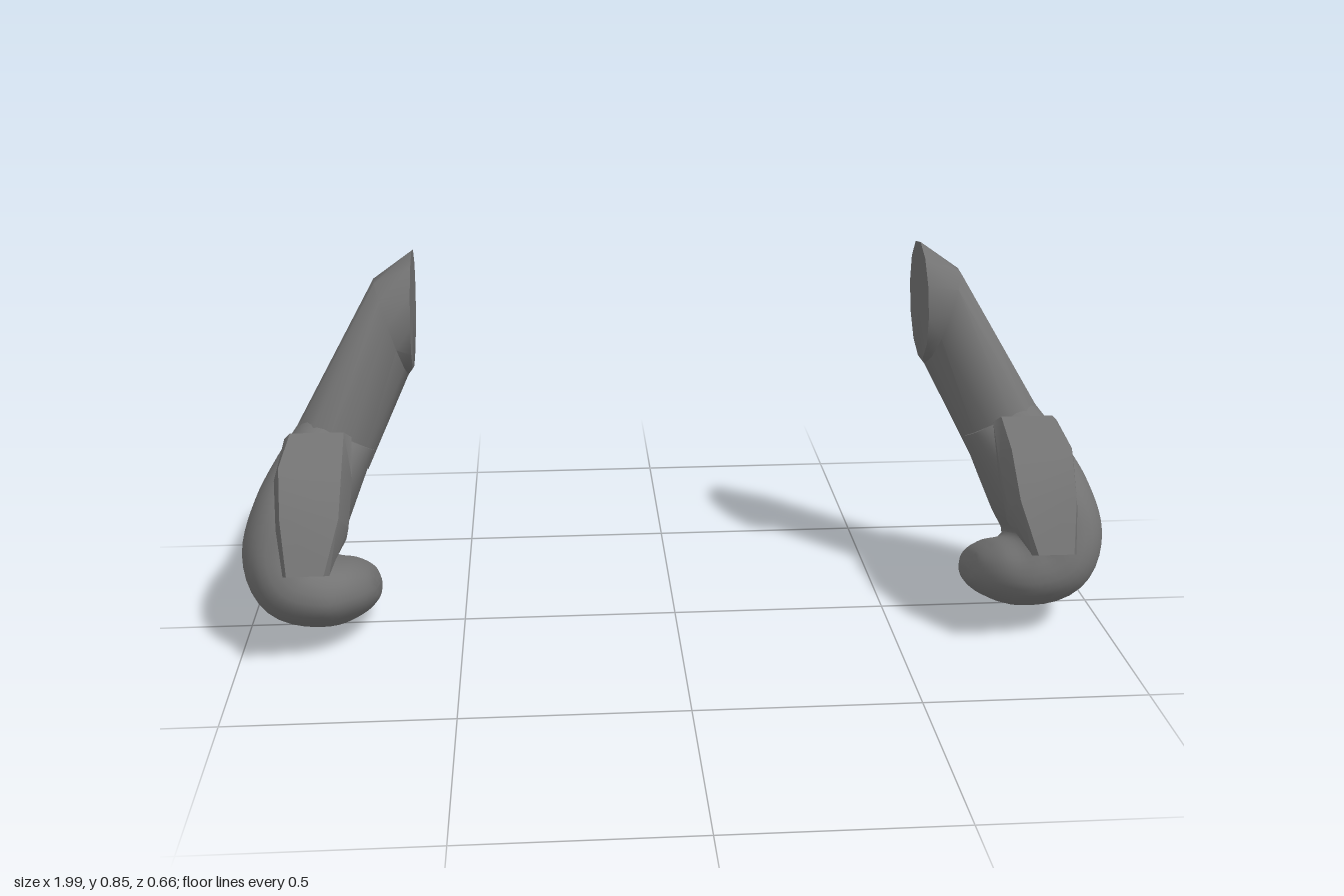
import * as THREE from 'three';
import { toCreasedNormals } from 'three/addons/utils/BufferGeometryUtils.js';

const V = (x, y, z) => new THREE.Vector3(x, y, z);

// Closed skin over equal-sized rings of points, facing outward, smooth below the crease angle
function loft(name, rings, side, crease) {
  const n = rings[0].length, last = rings.length - 1;
  const pts = rings.flat().map(p => V(p.x * side, p.y, p.z));
  const index = [];
  for (let i = 0; i < last; i++) {
    for (let j = 0; j < n; j++) {
      const k = (j + 1) % n, a = i * n + j, b = i * n + k;
      index.push(a, b, a + n, b, b + n, a + n);
    }
  }
  // end caps
  for (const r of [0, last]) {
    const centre = V(0, 0, 0);
    for (let j = 0; j < n; j++) centre.addScaledVector(pts[r * n + j], 1 / n);
    const c = pts.push(centre) - 1;
    for (let j = 0; j < n; j++) {
      const a = r * n + j, b = r * n + (j + 1) % n;
      if (r === 0) index.push(c, b, a); else index.push(c, a, b);
    }
  }
  // turn the faces round when the enclosed volume is negative
  let volume = 0;
  for (let i = 0; i < index.length; i += 3) {
    volume += pts[index[i]].dot(V(0, 0, 0).crossVectors(pts[index[i + 1]], pts[index[i + 2]]));
  }
  if (volume < 0) index.reverse();
  const geo = new THREE.BufferGeometry().setFromPoints(pts);
  geo.setIndex(index);
  const mesh = new THREE.Mesh(toCreasedNormals(geo, crease),
    new THREE.MeshStandardMaterial({ color: 0x737373 }));
  mesh.name = name;
  return mesh;
}

// Forearm: wrist ring, elbow ring and an upright cut at the inner end
function forearm(side) {
  const ring = (c, u, w) => Array.from({ length: 12 }, (_, i) => {
    const a = i / 12 * Math.PI * 2;
    return c.clone().addScaledVector(u, Math.cos(a)).addScaledVector(w, Math.sin(a));
  });
  const rings = [
    ring(V(0.80, 0.40, -0.08), V(0.085, 0.045, 0), V(0, 0.04, 0.098)),
    ring(V(0.655, 0.665, -0.20), V(0.035, 0.118, 0), V(0, 0.035, 0.113)),
    ring(V(0.603, 0.705, -0.212), V(-0.003, 0.14, 0), V(0, -0.015, 0.118)),
  ];
  return loft('forearm', rings, side, 0.75);
}

// Mitten hand: a wide section swept down the palm and curled inward
function hand(side) {
  const origin = V(0, 0.44, -0.095);
  const down = V(0, -0.944, 0.33), across = V(0, 0.33, 0.944);
  // x, distance down, outward angle in degrees, half thickness, width centre, half width
  const stations = [
    [0.78, 0.00, -27, 0.090, 0.000, 0.104],
    [0.825, 0.09, -24, 0.100, 0.018, 0.160],
    [0.865, 0.18, -18, 0.106, 0.034, 0.197],
    [0.895, 0.27, 0, 0.102, 0.030, 0.208],
    [0.870, 0.338, 45, 0.100, 0.028, 0.208],
    [0.800, 0.362, 88, 0.083, 0.022, 0.198],
    [0.740, 0.356, 97, 0.066, 0.014, 0.165],
    [0.704, 0.350, 100, 0.040, 0.006, 0.110],
    [0.692, 0.348, 100, 0.010, 0.002, 0.040],
  ];
  const curve = k => new THREE.CatmullRomCurve3(
    stations.map(s => V(s[k], s[k + 1], s[k + 2])), false, 'catmullrom');
  const path = curve(0), size = curve(3);
  const soft = v => Math.sign(v) * Math.abs(v) ** 0.85;
  const rings = [];
  for (let i = 0; i <= 40; i++) {
    const p = path.getPoint(i / 40), s = size.getPoint(i / 40);
    const angle = THREE.MathUtils.degToRad(p.z), ring = [];
    for (let j = 0; j < 32; j++) {
      const a = j / 32 * Math.PI * 2;
      const t = s.x * soft(Math.cos(a)), w = s.y + s.z * soft(Math.sin(a));
      const q = origin.clone()
        .addScaledVector(down, p.y + t * Math.sin(angle))
        .addScaledVector(across, w);
      q.x = p.x + t * Math.cos(angle);
      ring.push(q);
    }
    rings.push(ring);
  }
  return loft('hand', rings, side, 0.9);
}

// Thumb: broad six-sided sections bending forward and down
function thumb(side) {
  // centre x, half width, outer z and y, inner z and y
  const stations = [
    [0.812, 0.075, 0.05, 0.492, 0.02, 0.455],
    [0.815, 0.086, 0.18, 0.458, 0.10, 0.36],
    [0.813, 0.079, 0.27, 0.37, 0.18, 0.285],
    [0.822, 0.050, 0.33, 0.262, 0.29, 0.246],
  ];
  const outline = [[-0.8, 1], [0.8, 1], [1, 0.55], [0.85, 0], [-0.85, 0], [-1, 0.55]];
  const rings = stations.map(([x, half, oz, oy, iz, iy]) => outline.map(([u, v]) =>
    V(x + half * u, iy + (oy - iy) * v, iz + (oz - iz) * v)));
  return loft('thumb', rings, side, 0.7);
}

export function createModel() {
  const model = new THREE.Group();
  model.name = 'pairOfArms';
  for (const [name, side] of [['leftArm', 1], ['rightArm', -1]]) {
    const arm = new THREE.Group();
    arm.name = name;
    arm.add(forearm(side), hand(side), thumb(side));
    model.add(arm);
  }
  return model;
}
